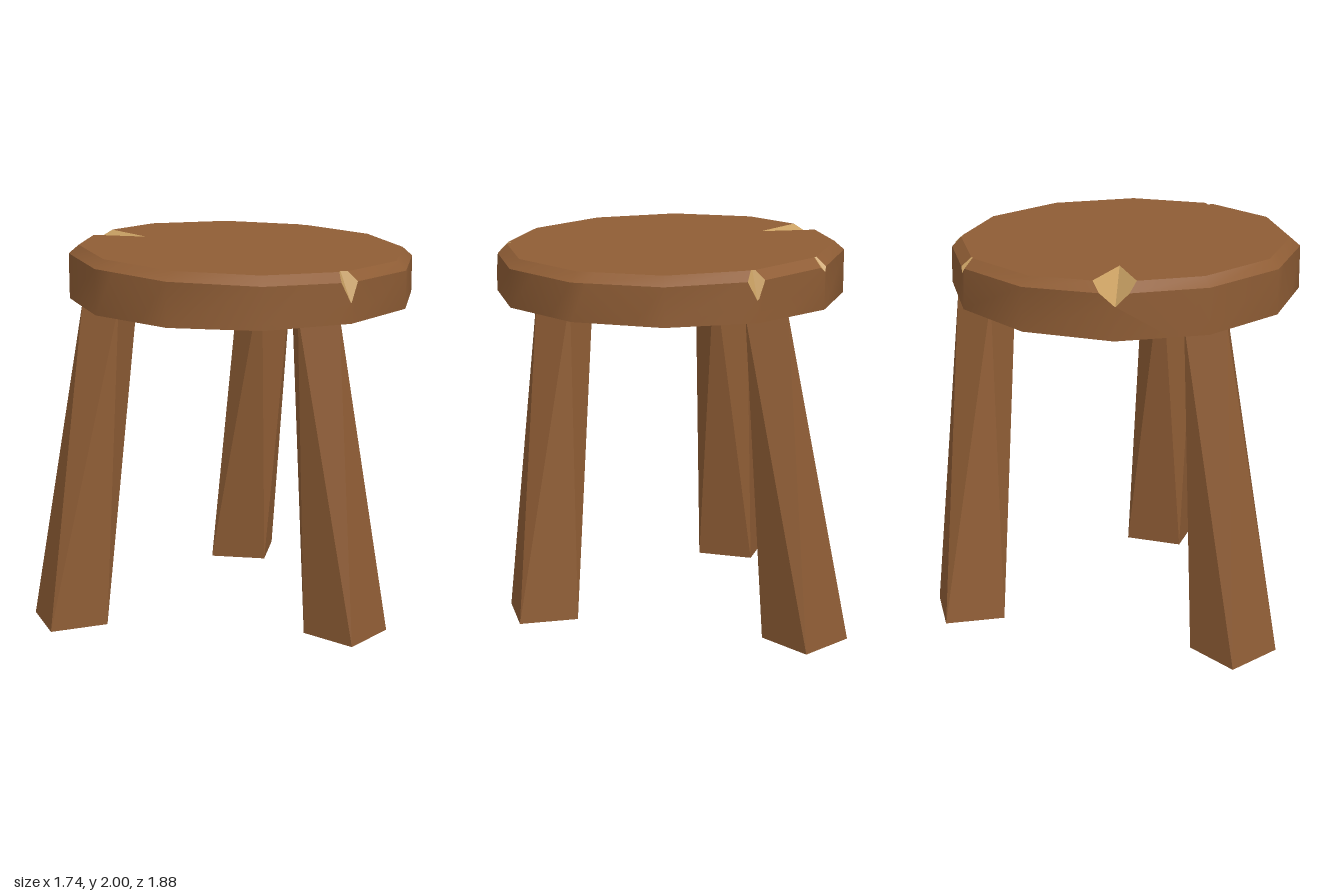
import * as THREE from 'three';
import { toCreasedNormals } from 'three/addons/utils/BufferGeometryUtils.js';

const V = (x, y, z) => new THREE.Vector3(x, y, z);
const CENTER_Z = -0.04;
// The seat's top is slightly tilted
const topY = (x, z) => 1.98 - 0.017 * x + 0.017 * z;

// Part of a convex polygon on one side of a plane (sign 1: front, -1: back)
function clip(poly, plane, sign) {
  const out = [];
  poly.forEach((a, i) => {
    const b = poly[(i + 1) % poly.length];
    const da = sign * plane.distanceToPoint(a), db = sign * plane.distanceToPoint(b);
    if (da >= 0) out.push(a);
    if (da * db < 0) out.push(a.clone().lerp(b, da / (da - db)));
  });
  return out.length > 2 ? out : [];
}

// Fan-triangulate convex polygons into one geometry
function polysToGeometry(polys, crease) {
  const pts = [];
  for (const p of polys)
    for (let i = 1; i < p.length - 1; i++) pts.push(p[0], p[i], p[i + 1]);
  const g = new THREE.BufferGeometry().setFromPoints(pts);
  g.computeVertexNormals();
  return crease ? toCreasedNormals(g, crease) : g;
}

// Twelve-sided slab with a bevelled top edge
function seatFaces() {
  const ring = (r, yAt) => Array.from({ length: 12 }, (_, i) => {
    const a = (i + 0.5) * Math.PI / 6;
    const x = r * Math.sin(a), z = CENTER_Z + r * Math.cos(a);
    return V(x, yAt(x, z), z);
  });
  const low = ring(0.902, () => 1.72);
  const mid = ring(0.902, (x, z) => topY(x, z) - 0.045);
  const top = ring(0.85, topY);
  const faces = [top, low.slice().reverse()];
  for (let i = 0; i < 12; i++) {
    const j = (i + 1) % 12;
    faces.push([low[i], low[j], mid[j], mid[i]], [mid[i], mid[j], top[j], top[i]]);
  }
  return faces;
}

// V-shaped nick: two planes meeting along tip-bottom, facing into the nick
function nickPlanes({ tip, bottom, sides }) {
  return sides.map((s, i) => {
    const p = new THREE.Plane().setFromCoplanarPoints(tip, bottom, s);
    return p.distanceToPoint(sides[1 - i]) < 0 ? p.negate() : p;
  });
}

// The fresh wood surface of a nick, trimmed to the seat
function nickFaces(nick, planes, seatPlanes) {
  return planes.map((p, i) => {
    const u = nick.bottom.clone().sub(nick.tip).normalize();
    const v = p.normal.clone().cross(u);
    let poly = [[-2, -2], [2, -2], [2, 2], [-2, 2]].map(([a, b]) =>
      nick.tip.clone().addScaledVector(u, a).addScaledVector(v, b));
    poly = clip(poly, planes[1 - i], 1);
    for (const s of seatPlanes) poly = clip(poly, s, -1);
    return poly;
  });
}

// Open four-sided leg, twisted an eighth of a turn from foot to top
function legGeometry([fx, fz], [tx, tz], footAngle) {
  const H = 1.72;
  const g = new THREE.CylinderGeometry(0.148, 0.22, H, 4, 1, true).translate(0, H / 2, 0);
  const pos = g.attributes.position, p = V(0, 0, 0), up = V(0, 1, 0);
  for (let i = 0; i < pos.count; i++) {
    p.fromBufferAttribute(pos, i);
    const isTop = p.y > H / 2;
    p.applyAxisAngle(up, THREE.MathUtils.degToRad(footAngle - (isTop ? 45 : 0)));
    p.add(isTop ? V(tx, 0, tz) : V(fx, 0, fz));
    pos.setXYZ(i, p.x, p.y, p.z);
  }
  const flat = g.toNonIndexed();
  flat.computeVertexNormals();
  return flat;
}

export function createModel() {
  const group = new THREE.Group();
  const wood = new THREE.MeshStandardMaterial({ color: 0x8f5d35, side: THREE.DoubleSide });
  wood.name = 'brown wood';
  const fresh = new THREE.MeshStandardMaterial({ color: 0xc9a063 });
  fresh.name = 'pale cut wood';
  const add = (geometry, material, name) => {
    const m = new THREE.Mesh(geometry, material);
    m.name = name;
    group.add(m);
  };

  // Nicks around the rim: inner tip, lowest point, two side points
  const onTop = (x, z) => V(x, topY(x, z), z);
  const nicks = [
    { name: 'rightSplit', tip: onTop(-0.535, 0.11), bottom: V(-0.87, 1.89, 0.2),
      sides: [onTop(-0.82, 0.07), onTop(-0.77, 0.275)] },
    { name: 'leftNick', tip: onTop(0.79, 0.18), bottom: V(0.87, 1.82, 0.197),
      sides: [V(0.87, 1.925, 0.145), V(0.845, 1.925, 0.245)] },
    { name: 'backNick', tip: onTop(-0.215, -0.85), bottom: V(-0.225, 1.83, -0.911),
      sides: [V(-0.265, 1.925, -0.89), V(-0.175, 1.925, -0.911)] },
    { name: 'smallBackNick', tip: onTop(-0.595, -0.635), bottom: V(-0.637, 1.91, -0.677),
      sides: [V(-0.638, 1.945, -0.655), V(-0.6, 1.945, -0.698)] },
  ];

  // Seat, with the nicks cut out
  let faces = seatFaces();
  const seatPlanes = faces.map(f => new THREE.Plane().setFromCoplanarPoints(f[0], f[1], f[2]));
  for (const nick of nicks) {
    const planes = nickPlanes(nick);
    faces = faces.flatMap(f => [clip(f, planes[0], -1), clip(clip(f, planes[0], 1), planes[1], -1)])
      .filter(f => f.length);
    add(polysToGeometry(nickFaces(nick, planes, seatPlanes)), fresh, nick.name);
  }
  add(polysToGeometry(faces, THREE.MathUtils.degToRad(35)), wood, 'seat');

  // Three splayed legs: foot centre, top centre, foot rotation
  add(legGeometry([0.695, -0.045], [0.54, 0.04], 45), wood, 'leftLeg');
  add(legGeometry([-0.56, 0.728], [-0.426, 0.52], 15), wood, 'frontRightLeg');
  add(legGeometry([-0.555, -0.73], [-0.34, -0.675], 75), wood, 'backRightLeg');
  return group;
}
